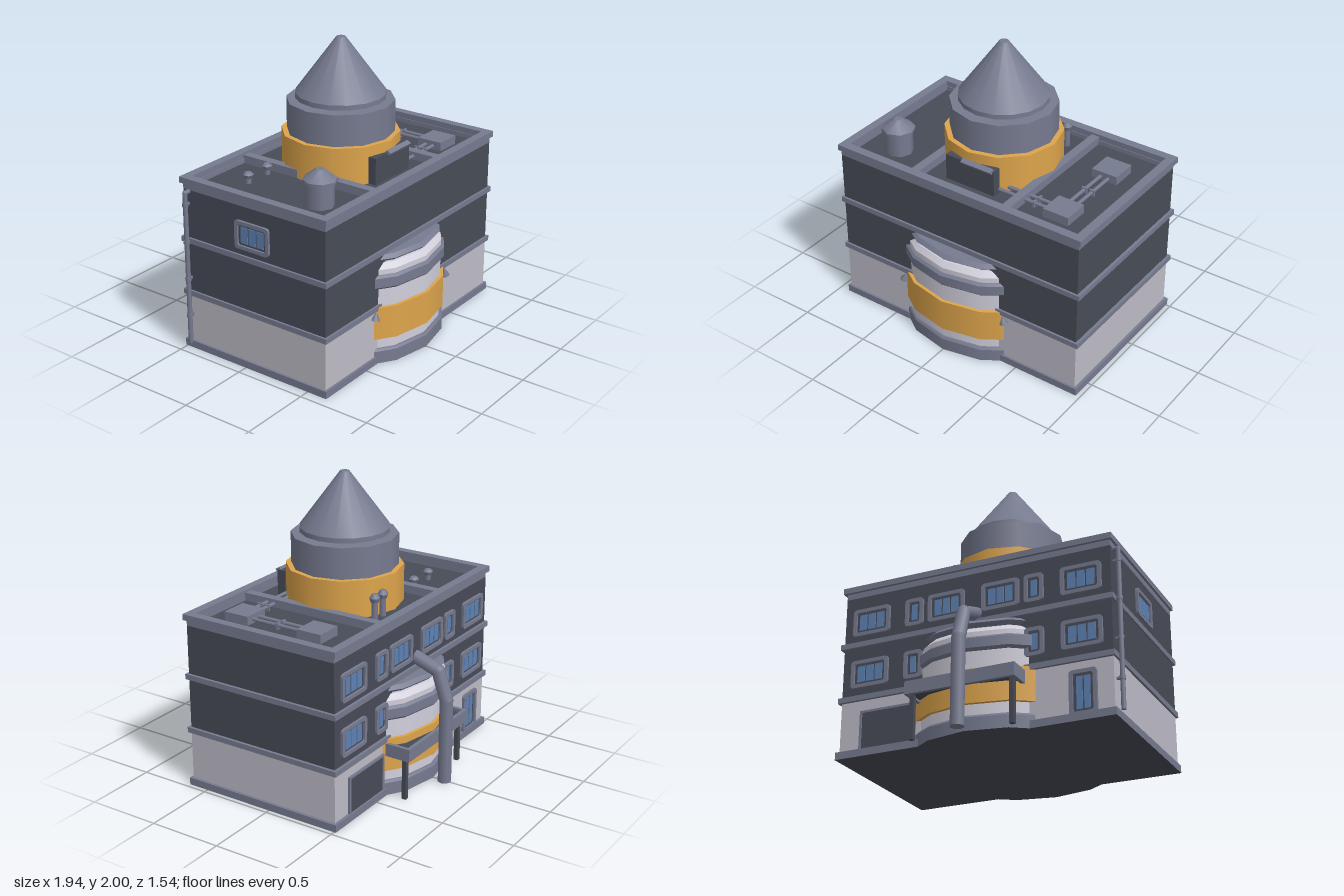
import * as THREE from 'three';

const mat = (name, color) => Object.assign(new THREE.MeshStandardMaterial({ color }), { name });

export function createModel() {
  const slate = mat('slate trim', 0x777b90), dark = mat('dark wall', 0x484c57);
  const light = mat('light wall', 0xbebcc7), pale = mat('pale drum', 0xd2d0dc);
  const amber = mat('amber band', 0xdea54c), glass = mat('blue glass', 0x5f83b4);
  const root = new THREE.Group();
  const CZ = 0.065; // common axis of tower and drum

  const add = (name, geo, m, parent = root) => {
    const mesh = new THREE.Mesh(geo, m);
    mesh.name = name;
    parent.add(mesh);
    return mesh;
  };
  const box = (name, m, x0, x1, y0, y1, z0, z1, parent = root) => {
    const b = add(name, new THREE.BoxGeometry(x1 - x0, y1 - y0, z1 - z0), m, parent);
    b.position.set((x0 + x1) / 2, (y0 + y1) / 2, (z0 + z1) / 2);
    return b;
  };
  const drum = (name, m, x, z, y0, y1, r0, r1 = r0, n = 8) => {
    const c = add(name, new THREE.CylinderGeometry(r1, r0, y1 - y0, n), m);
    c.position.set(x, (y0 + y1) / 2, z);
    return c;
  };
  const rim = (name, m, x0, x1, y0, y1, z0, z1, t) => {
    box(name, m, x0, x1, y0, y1, z0, z0 + t);
    box(name, m, x0, x1, y0, y1, z1 - t, z1);
    box(name, m, x0, x0 + t, y0, y1, z0 + t, z1 - t);
    box(name, m, x1 - t, x1, y0, y1, z0 + t, z1 - t);
  };
  // straight segments of pipe joined with round elbows
  const pipe = (name, m, r, pts, n = 8) => {
    const v = pts.map(p => new THREE.Vector3(...p));
    const path = new THREE.CurvePath();
    for (let i = 1; i < v.length; i++) {
      const d = v[i].clone().sub(v[i - 1]);
      const c = add(name, new THREE.CylinderGeometry(r, r, d.length(), n), m);
      c.position.copy(v[i]).add(v[i - 1]).multiplyScalar(0.5);
      c.quaternion.setFromUnitVectors(new THREE.Vector3(0, 1, 0), d.normalize());
      if (i < v.length - 1) add(name + 'Elbow', new THREE.SphereGeometry(r, n, 8), m).position.copy(v[i]);
    }
  };

  // main block: storeys and trims
  const under = [slate, slate, slate, dark, slate, slate];
  box('baseTrim', under, -0.93, 0.97, 0, 0.05, -0.515, 0.645);
  box('groundStorey', light, -0.915, 0.95, 0.05, 0.385, -0.495, 0.63);
  box('upperStoreys', dark, -0.915, 0.95, 0.385, 1.12, -0.495, 0.63);
  for (const y of [0.38, 0.755]) box('floorTrim', slate, -0.93, 0.97, y, y + 0.036, -0.515, 0.645);

  // roof with parapet and dividers
  box('roofDeck', dark, -0.9, 0.93, 1.1, 1.13, -0.48, 0.61);
  rim('parapetWall', slate, -0.915, 0.95, 1.12, 1.16, -0.495, 0.63, 0.045);
  rim('parapetCap', slate, -0.93, 0.97, 1.16, 1.2, -0.515, 0.645, 0.06);
  for (const x of [-0.37, 0.345]) box('roofDivider', slate, x, x + 0.06, 1.12, 1.185, -0.46, 0.59);

  // large drum that bulges from front and back
  const bands = [
    ['drumFoot', [slate, slate, dark], 0, 0.085, 0.705, 0.705],
    ['drumFootBevel', slate, 0.085, 0.1, 0.705, 0.695],
    ['drumBody', pale, 0.05, 0.655, 0.683, 0.683],
    ['drumShoulder', pale, 0.655, 0.69, 0.683, 0.655],
    ['drumNeck', pale, 0.69, 0.73, 0.64, 0.64],
    ['amberBand', amber, 0.175, 0.4, 0.706, 0.706],
    ['ringLower', slate, 0.525, 0.54, 0.69, 0.705],
    ['ringMiddle', slate, 0.54, 0.605, 0.705, 0.705],
    ['ringUpper', slate, 0.605, 0.62, 0.705, 0.69],
    ['topRingLower', slate, 0.7, 0.72, 0.65, 0.673],
    ['topRingUpper', slate, 0.72, 0.745, 0.673, 0.65],
  ];
  for (const [name, m, y0, y1, r0, r1] of bands) drum(name, m, 0, CZ, y0, y1, r0, r1, 16);
  for (const s of [-1, 1]) {
    drum('wallLamp', slate, s * 0.405, 0.645, 0.325, 0.375, 0.03, 0.006).rotation.z = s * 0.25;
  }

  // roof tower
  drum('towerAmber', amber, 0, CZ, 1.12, 1.38, 0.39, 0.39, 12);
  drum('towerDrum', slate, 0, CZ, 1.38, 1.59, 0.355, 0.355, 12);
  drum('towerNeck', pale, 0, CZ, 1.59, 1.605, 0.255, 0.255, 16);
  drum('coneRim', slate, 0, CZ, 1.603, 1.635, 0.298, 0.298, 16);
  drum('cone', slate, 0, CZ, 1.635, 2, 0.298, 0.03, 16);

  // panel in front of the tower with two lamps
  box('roofPanel', dark, -0.17, 0.205, 1.13, 1.31, 0.405, 0.465);
  for (const x of [0.02, 0.135]) {
    box('panelLamp', slate, x - 0.06, x + 0.06, 1.3, 1.32, 0.45, 0.485).rotation.x = 0.5;
  }

  // roof fittings
  drum('ventBody', slate, -0.63, 0.375, 1.12, 1.29, 0.093);
  drum('ventCapRim', slate, -0.63, 0.375, 1.29, 1.307, 0.112);
  drum('ventCap', slate, -0.63, 0.375, 1.307, 1.373, 0.112, 0.028);
  for (const x of [-0.62, -0.432]) {
    drum('smallVent', slate, x, -0.205, 1.12, 1.175, 0.02);
    drum('smallVentCap', slate, x, -0.205, 1.165, 1.19, 0.025, 0.036);
    drum('smallVentTop', slate, x, -0.205, 1.19, 1.205, 0.036, 0.022);
  }
  for (const x of [0.14, 0.235]) {
    drum('flue', slate, x, -0.32, 1.12, 1.26, 0.022);
    drum('flueCap', slate, x, -0.32, 1.25, 1.28, 0.026, 0.036);
    drum('flueTop', slate, x, -0.32, 1.28, 1.305, 0.036, 0.022);
  }
  for (const z of [-0.18, 0.38]) box('roofUnit', slate, 0.58, 0.765, 1.13, 1.19, z - 0.09, z + 0.09);
  for (const d of [-0.028, 0.028]) {
    pipe('roofPipeLong', slate, 0.013, [[0.673 + d, 1.155, -0.1], [0.673 + d, 1.155, 0.3]]);
    pipe('roofPipeCross', slate, 0.013, [[0.1, 1.155, 0.378 + d], [0.6, 1.155, 0.378 + d]]);
    box('pipeClamp', slate, 0.655 + d, 0.691 + d, 1.13, 1.172, 0.09, 0.105);
    box('pipeClamp', slate, 0.47, 0.485, 1.13, 1.172, 0.36 + d, 0.396 + d);
  }

  // corner downpipe and its brackets
  pipe('downpipe', slate, 0.016, [[-0.9, 1.11, -0.45], [-0.951, 1.11, -0.45], [-0.951, 0.05, -0.45]]);
  for (const y of [0.25, 0.51, 0.77, 1.03]) {
    drum('downpipeCollar', slate, -0.951, -0.45, y - 0.012, y + 0.012, 0.021);
    box('downpipeBracket', slate, -0.945, -0.91, y - 0.008, y + 0.008, -0.457, -0.443);
  }

  // big exhaust pipe at the back
  pipe('exhaustPipe', slate, 0.046, [[0, 0.84, -0.48], [0, 0.775, -0.66], [0, 0.585, -0.725], [0, 0, -0.725]]);

  // canopy over the back entrance
  rim('canopyRim', slate, -0.355, 0.39, 0.285, 0.372, -0.685, -0.48, 0.025);
  box('canopyDeck', dark, -0.335, 0.37, 0.3, 0.35, -0.665, -0.49);
  for (const x of [-0.32, 0.355]) box('canopyPost', dark, x - 0.015, x + 0.015, 0, 0.29, -0.65, -0.62);

  // rounded frames for windows and doors, built facing +z
  const rounded = (Type, w, h, r) => {
    const s = new Type(), x = w / 2, y = h / 2;
    s.moveTo(-x + r, -y).lineTo(x - r, -y).quadraticCurveTo(x, -y, x, -y + r);
    s.lineTo(x, y - r).quadraticCurveTo(x, y, x - r, y).lineTo(-x + r, y);
    s.quadraticCurveTo(-x, y, -x, y - r).lineTo(-x, -y + r).quadraticCurveTo(-x, -y, -x + r, -y);
    return s;
  };
  const opening = (name, w, h, panes, x, y, z, turn) => {
    const g = new THREE.Group();
    g.name = name;
    const shape = rounded(THREE.Shape, w, h, 0.025);
    shape.holes.push(rounded(THREE.Path, w - 0.05, h - 0.05, 0.015));
    add('frame', new THREE.ExtrudeGeometry(shape, { depth: 0.018, bevelEnabled: false, curveSegments: 3 }), slate, g);
    box('recess', dark, -w / 2 + 0.02, w / 2 - 0.02, -h / 2 + 0.02, h / 2 - 0.02, 0, 0.004, g);
    const pw = (w - 0.08) / panes;
    for (let i = 0; i < panes; i++) {
      const px = -w / 2 + 0.04 + i * pw;
      box('pane', glass, px + 0.005, px + pw - 0.005, -h / 2 + 0.04, h / 2 - 0.04, 0.003, 0.009, g);
    }
    g.position.set(x, y, z);
    g.rotation.y = turn;
    root.add(g);
  };
  const back = -0.495;
  for (const s of [-1, 1]) {
    for (const y of [0.565, 0.93]) {
      opening('wideWindow', 0.27, 0.19, 3, 0.015 + s * 0.735, y, back, Math.PI);
      opening('narrowWindow', 0.13, 0.19, 1, 0.015 + s * 0.42, y, back, Math.PI);
    }
    opening('middleWindow', 0.26, 0.19, 3, 0.015 + s * 0.19, 0.93, back, Math.PI);
  }
  opening('sideWindow', 0.27, 0.19, 3, -0.915, 0.93, 0.07, -Math.PI / 2);

  // back door and loading door
  opening('backDoor', 0.18, 0.29, 2, -0.72, 0.18, back, Math.PI);
  box('loadingDoor', dark, 0.42, 0.79, 0.04, 0.29, -0.503, -0.494);
  box('loadingDoorLintel', slate, 0.405, 0.805, 0.29, 0.305, -0.51, -0.49);
  for (const x of [0.405, 0.79]) box('loadingDoorJamb', slate, x, x + 0.015, 0.04, 0.29, -0.51, -0.49);

  return root;
}
